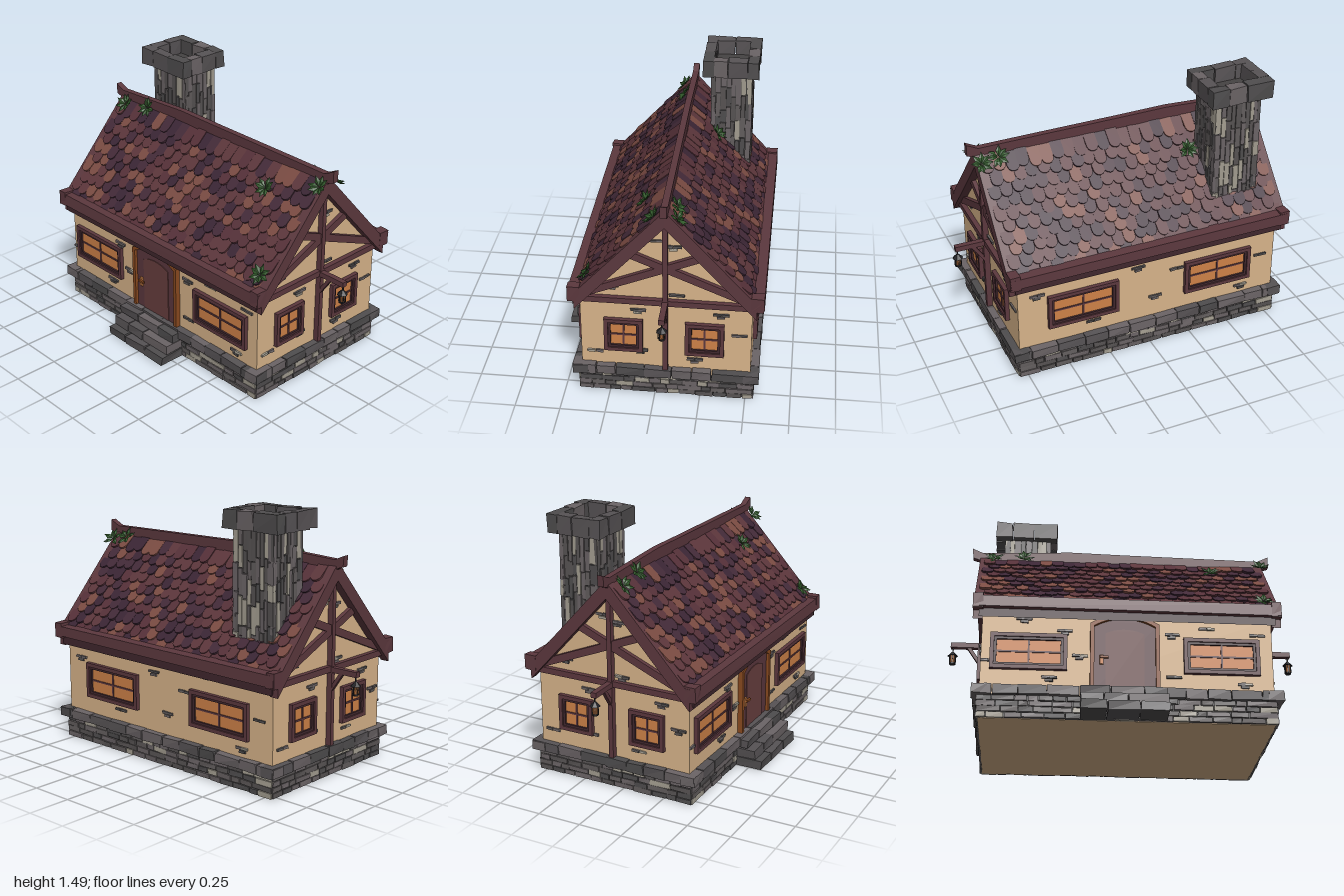
import * as THREE from 'three';
import { mergeGeometries } from 'three/addons/utils/BufferGeometryUtils.js';

const WOOD = 0x5c383e, DARK = 0x40272d, WALL = 0xd8b48a, PANE = 0xcf8248, OAK = 0x8a4a20, LEAF = 0x31592a, IRON = 0x222226;
const STONES = [0x6b6466, 0x575353, 0x4f4d4e, 0x6b6466, 0x625d5d, 0xa39d90];
const SLABS = [0x6b6466, 0x575355, 0x4f4d4e];
const TILES = [0x5c363b, 0x5c363b, 0x553038, 0x3a2534, 0x432a38, 0x7a4b42];
const CZ = -0.06, HX = 0.79, HZ = 0.465;      // house centre line and half sizes
const SLOPE = 1.1, TILT = Math.atan2(1, SLOPE);

export function createModel() {
  let seed = 7;
  const rnd = (a = 0, b = 1) => {
    seed = (seed * 16807) % 2147483647;
    return a + (b - a) * (seed / 2147483647);
  };
  const pick = list => list[Math.floor(rnd(0, list.length - 0.001))];

  // Collect pieces by part name and colour; merged into meshes at the end
  const parts = new Map();
  const add = (name, color, geo, ...mats) => {
    const g = geo.index ? geo.toNonIndexed() : geo.clone();
    g.deleteAttribute('uv');
    mats.reverse().forEach(m => g.applyMatrix4(m));
    const key = name + color;
    if (!parts.has(key)) parts.set(key, { name, color, list: [] });
    parts.get(key).list.push(g);
  };
  const T = (x, y, z) => new THREE.Matrix4().makeTranslation(x, y, z);
  const RX = a => new THREE.Matrix4().makeRotationX(a);
  const RY = a => new THREE.Matrix4().makeRotationY(a);
  const RZ = a => new THREE.Matrix4().makeRotationZ(a);
  const box = (w, h, d) => new THREE.BoxGeometry(w, h, d);

  // Box with uneven corners
  const stone = (w, h, d, j = 0.004) => {
    const g = box(w, h, d), p = g.attributes.position;
    const off = Array.from({ length: 24 }, () => rnd(-j, j));
    for (let i = 0; i < p.count; i++) {
      const c = 3 * ((p.getX(i) > 0 ? 1 : 0) + (p.getY(i) > 0 ? 2 : 0) + (p.getZ(i) > 0 ? 4 : 0));
      p.setXYZ(i, p.getX(i) + off[c], p.getY(i) + off[c + 1], p.getZ(i) + off[c + 2]);
    }
    return g;
  };
  // Cut the span a..b into pieces of random length
  const strip = (a, b, min, max, fn) => {
    while (b - a > 0.005) {
      let l = rnd(min, max);
      if (b - a - l < min) l = b - a;
      fn(a + l / 2, l);
      a += l;
    }
  };
  const polygon = pts => new THREE.Shape(pts.map(p => new THREE.Vector2(...p)));
  const extrude = (shape, depth) => new THREE.ExtrudeGeometry(shape, { depth, bevelEnabled: false, curveSegments: 6 });

  // Wall frames: local x along the wall, y up, z outwards
  const side = (angle, dist, cx = 0, cz = CZ) => new THREE.Matrix4().multiplyMatrices(T(cx, 0, cz), RY(angle)).multiply(T(0, 0, dist));
  const front = side(0, HZ), back = side(Math.PI, HZ);
  const gables = [side(Math.PI / 2, HX), side(-Math.PI / 2, HX)];
  const beam = (name, wall, x0, y0, x1, y1, w, d) => add(name, WOOD,
    box(Math.hypot(x1 - x0, y1 - y0), w, d), wall, T((x0 + x1) / 2, (y0 + y1) / 2, d / 2), RZ(Math.atan2(y1 - y0, x1 - x0)));

  // House body with gables
  const alongX = RY(Math.PI / 2);
  add('walls', WALL, extrude(polygon([[-HZ, 0], [HZ, 0], [HZ, 0.62], [0, 1.13], [-HZ, 0.62]]), 2 * HX), T(-HX, 0, CZ), alongX);

  // Foundation courses and coping slabs
  add('foundationCore', 0x3c3a3a, box(1.595, 0.13, 0.945), T(0, 0.069, CZ));
  for (const [angle, half, dist] of [[0, 0.8, 0.475], [Math.PI, 0.8, 0.475], [Math.PI / 2, 0.48, 0.795], [-Math.PI / 2, 0.48, 0.795]]) {
    for (let r = 0; r < 4; r++) strip(-half, half, 0.05, 0.13, (c, l) =>
      add('foundationBrick', pick(STONES), stone(l - 0.005, 0.028, 0.03, 0.002), side(angle, dist - rnd(0.004, 0.009)), T(c, 0.016 + r * 0.032, 0)));
    strip(-half - 0.035, half + 0.035, 0.1, 0.18, (c, l) =>
      add('copingSlab', pick(SLABS), stone(l - 0.004, 0.054, 0.08), side(angle, dist - 0.006), T(c, 0.152, 0)));
  }

  // Front steps
  [[0.027, 0.58], [0.083, 0.54], [0.14, 0.495]].forEach(([y, z]) => strip(-0.258, 0.208, 0.12, 0.2, (c, l) =>
    add('step', pick(SLABS), stone(l - 0.004, 0.052, z - 0.38), T(c, y, (z + 0.38) / 2))));

  // Windows: stepped frame, four panes
  const ring = (w, h, t, d) => {
    const rect = (a, b) => [[-a, -b], [a, -b], [a, b], [-a, b]];
    const s = polygon(rect(w / 2, h / 2));
    s.holes.push(polygon(rect(w / 2 - t, h / 2 - t)));
    return extrude(s, d);
  };
  const windowAt = (wall, x, w) => {
    const at = T(x, 0.382, 0), h = 0.208;
    add('windowFrame', WOOD, ring(w, h, 0.022, 0.024), wall, at);
    add('windowInnerFrame', DARK, ring(w - 0.04, h - 0.04, 0.016, 0.016), wall, at);
    add('windowPane', PANE, box(w - 0.06, h - 0.06, 0.01), wall, at);
    add('windowBar', WOOD, box(0.01, h - 0.06, 0.02), wall, at);
    add('windowBar', WOOD, box(w - 0.06, 0.01, 0.02), wall, at);
  };
  windowAt(front, -0.535, 0.415);
  windowAt(front, 0.51, 0.415);
  for (const x of [-0.41, 0.42]) windowAt(back, x, 0.42);
  for (const g of gables) for (const x of [-0.23, 0.212]) windowAt(g, x, 0.212);

  // Arched door
  const arch = (w, y0, y1, peak) => {
    const s = new THREE.Shape();
    s.moveTo(-w, y0);
    s.lineTo(w, y0);
    s.lineTo(w, y1);
    s.quadraticCurveTo(w * 0.55, peak, 0, peak);
    s.quadraticCurveTo(-w * 0.55, peak, -w, y1);
    return s;
  };
  const doorFrame = arch(0.188, 0.165, 0.555, 0.605);
  doorFrame.holes.push(arch(0.166, 0.166, 0.54, 0.587));
  const doorAt = T(-0.017, 0, 0);
  add('doorFrame', OAK, extrude(doorFrame, 0.03), front, doorAt);
  add('door', WOOD, extrude(arch(0.168, 0.165, 0.545, 0.588), 0.012), front, doorAt);
  add('doorPanel', 0x693f3f, extrude(arch(0.105, 0.17, 0.5, 0.525), 0.016), front, doorAt);
  add('doorHandle', PANE, box(0.02, 0.055, 0.012), front, T(-0.143, 0.345, 0.016));
  add('doorHandle', OAK, box(0.045, 0.012, 0.012), front, T(-0.13, 0.355, 0.03));

  // Exposed bricks in the plaster
  const bricks = (wall, spots) => spots.forEach(([x, y]) => [[-0.02, 0.008], [0.022, 0.008], [0, -0.009]].forEach(([dx, dy], i) => {
    if (i < 2 || rnd() > 0.4) add('wallBrick', pick(STONES), stone(0.042, 0.014, 0.014, 0.002), wall, T(x + dx + rnd(-0.004, 0.004), y + dy, 0.003));
  }));
  bricks(front, [[-0.565, 0.57], [-0.345, 0.505], [-0.26, 0.36], [-0.755, 0.32], [-0.42, 0.23], [0.25, 0.25], [0.43, 0.54], [0.24, 0.5], [0.63, 0.22], [0.71, 0.51]]);
  bricks(back, [[-0.68, 0.5], [-0.35, 0.24], [-0.08, 0.52], [0.03, 0.3], [0.16, 0.45], [0.3, 0.56], [0.58, 0.22], [0.7, 0.4]]);

  // Gable timbers, lantern bracket and lantern
  for (const g of gables) {
    bricks(g, [[-0.39, 0.25], [-0.15, 0.54], [0.3, 0.54], [0.4, 0.41], [0.16, 0.235], [-0.14, 0.275], [-0.05, 0.985], [0.04, 0.955], [-0.29, 0.69], [0.06, 0.65]]);
    beam('gablePost', g, 0, 0.17, 0, 1.16, 0.027, 0.032);
    beam('tieBeam', g, -0.47, 0.615, 0.47, 0.615, 0.034, 0.028);
    for (const s of [-1, 1]) beam('gableBrace', g, s * 0.45, 0.645, -s * 0.215, 0.92, 0.042, 0.024);
    add('lanternArm', WOOD, box(0.032, 0.03, 0.195), g, T(0, 0.612, 0.098));
    add('lanternBrace', WOOD, box(0.022, 0.15, 0.02), g, T(0, 0.55, 0.058), RX(0.6));
    const lamp = (name, color, r0, r1, h, y) => add(name, color, new THREE.CylinderGeometry(r0, r1, h, 6), g, T(0, y, 0.182));
    lamp('lanternHook', IRON, 0.004, 0.004, 0.04, 0.59);
    lamp('lanternRoof', IRON, 0.006, 0.031, 0.026, 0.56);
    lamp('lanternGlass', PANE, 0.018, 0.014, 0.045, 0.525);
    lamp('lanternBase', IRON, 0.019, 0.019, 0.01, 0.5);
    for (let i = 0; i < 6; i++) add('lanternBar', IRON, box(0.005, 0.05, 0.005), g, T(0, 0.525, 0.182), RY(i * Math.PI / 3), T(0.018, 0, 0));
  }

  // Roof deck, barge boards, eave boards and ridge beam
  const chevron = (top, thick, u) => polygon([[-u, top - SLOPE * u], [-u, top - thick - SLOPE * u], [0, top - thick],
    [u, top - thick - SLOPE * u], [u, top - SLOPE * u], [0, top]]);
  add('roofDeck', DARK, extrude(chevron(1.17, 0.05, 0.5), 1.62), T(-0.81, 0, CZ), alongX);
  for (const x of [-0.842, 0.79]) add('bargeBoard', WOOD, extrude(chevron(1.2, 0.1, 0.49), 0.052), T(x, 0, CZ), alongX);
  for (const s of [-1, 1]) {
    add('eaveBoard', WOOD, stone(1.68, 0.066, 0.06, 0.005), T(0, 0.653, CZ + s * 0.495));
    for (const x of [-0.815, 0.815]) add('eaveEnd', WOOD, stone(0.055, 0.088, 0.068, 0.003), T(x, 0.656, CZ + s * 0.492));
  }
  add('ridgeBeam', WOOD, extrude(polygon([[-0.83, 1.15], [0.83, 1.15], [0.85, 1.175], [0.885, 1.185], [0.885, 1.252], [0.82, 1.22], [0.5, 1.225],
    [0, 1.232], [-0.3, 1.238], [-0.6, 1.225], [-0.83, 1.215], [-0.89, 1.242], [-0.885, 1.18], [-0.85, 1.17]]), 0.036), T(0, 0, CZ - 0.018));

  // Roof slope frames: local y runs up the slope from the ridge, z is the normal
  const slopes = [0, Math.PI].map(a => new THREE.Matrix4().multiplyMatrices(T(0, 1.17, CZ), RY(a)).multiply(RX(-TILT)));

  // Scalloped roof tiles
  const tileShape = new THREE.Shape();
  tileShape.moveTo(-0.034, 0);
  tileShape.lineTo(-0.034, -0.085);
  tileShape.quadraticCurveTo(-0.03, -0.115, 0, -0.117);
  tileShape.quadraticCurveTo(0.03, -0.115, 0.034, -0.085);
  tileShape.lineTo(0.034, 0);
  const tile = new THREE.ExtrudeGeometry(tileShape, { depth: 0.014, bevelEnabled: false, curveSegments: 3 });
  for (const slope of slopes) for (let r = 0; r < 10; r++) for (let c = 0; c < 24; c++) {
    const x = (c - 11.5) * 0.067 + (r % 2 ? 0.016 : -0.016);
    add('roofTile', pick(TILES), tile, slope, T(x, -0.005 - r * 0.0665 + rnd(-0.012, 0.008), rnd(0, 0.005)), RZ(rnd(-0.05, 0.05)), RX(-0.12));
  }

  // Chimney shaft of upright stones, with a hollow cap
  const CX = -0.565, CHZ = -0.308;
  add('chimneyCore', 0x454343, box(0.265, 0.75, 0.225), T(CX, 1.025, CHZ));
  for (let i = 0; i < 4; i++) {
    const [half, dist] = i % 2 ? [0.12, 0.13] : [0.14, 0.11], angle = i * Math.PI / 2;
    strip(-half, half, 0.024, 0.038, (c, w) => strip(0.66 - rnd(0, 0.08), 1.39, 0.08, 0.17, (y, h) =>
      add('chimneyStone', pick(STONES), stone(w - 0.003, h - 0.005, 0.02, 0.002), side(angle, dist + rnd(-0.003, 0.003), CX, CHZ), T(c, y, 0))));
    const [capHalf, capDist] = i % 2 ? [0.098, 0.154] : [0.187, 0.13];
    strip(-capHalf, capHalf, 0.08, 0.13, (c, w) =>
      add('chimneyCap', pick(SLABS), stone(w - 0.003, 0.1, 0.064), side(angle, capDist, -0.572, -0.303), T(c, 1.435, 0)));
  }

  // Leafy tufts: slope, local x, distance below the ridge
  const leaf = new THREE.OctahedronGeometry(1, 0).scale(0.016, 0.032, 0.006).translate(0, 0.034, 0);
  for (const [s, x, d] of [[0, -0.76, 0.05], [0, -0.58, 0.02], [0, 0.51, 0.17], [0, 0.765, 0.6], [0, 0.825, 0.05],
    [1, -0.72, 0.04], [1, -0.82, 0.06], [1, 0.36, 0.22]]) {
    for (let i = 0; i < 8; i++)
      add('leaves', LEAF, leaf, slopes[s], T(x, -d, 0.035), RZ(i * Math.PI / 4 + rnd(-0.2, 0.2)), RX(rnd(0.05, 0.5)));
  }

  const group = new THREE.Group();
  group.name = 'cottage';
  for (const { name, color, list } of parts.values()) {
    const mesh = new THREE.Mesh(mergeGeometries(list), new THREE.MeshStandardMaterial({ color, flatShading: true }));
    mesh.name = name;
    group.add(mesh);
  }
  return group;
}
